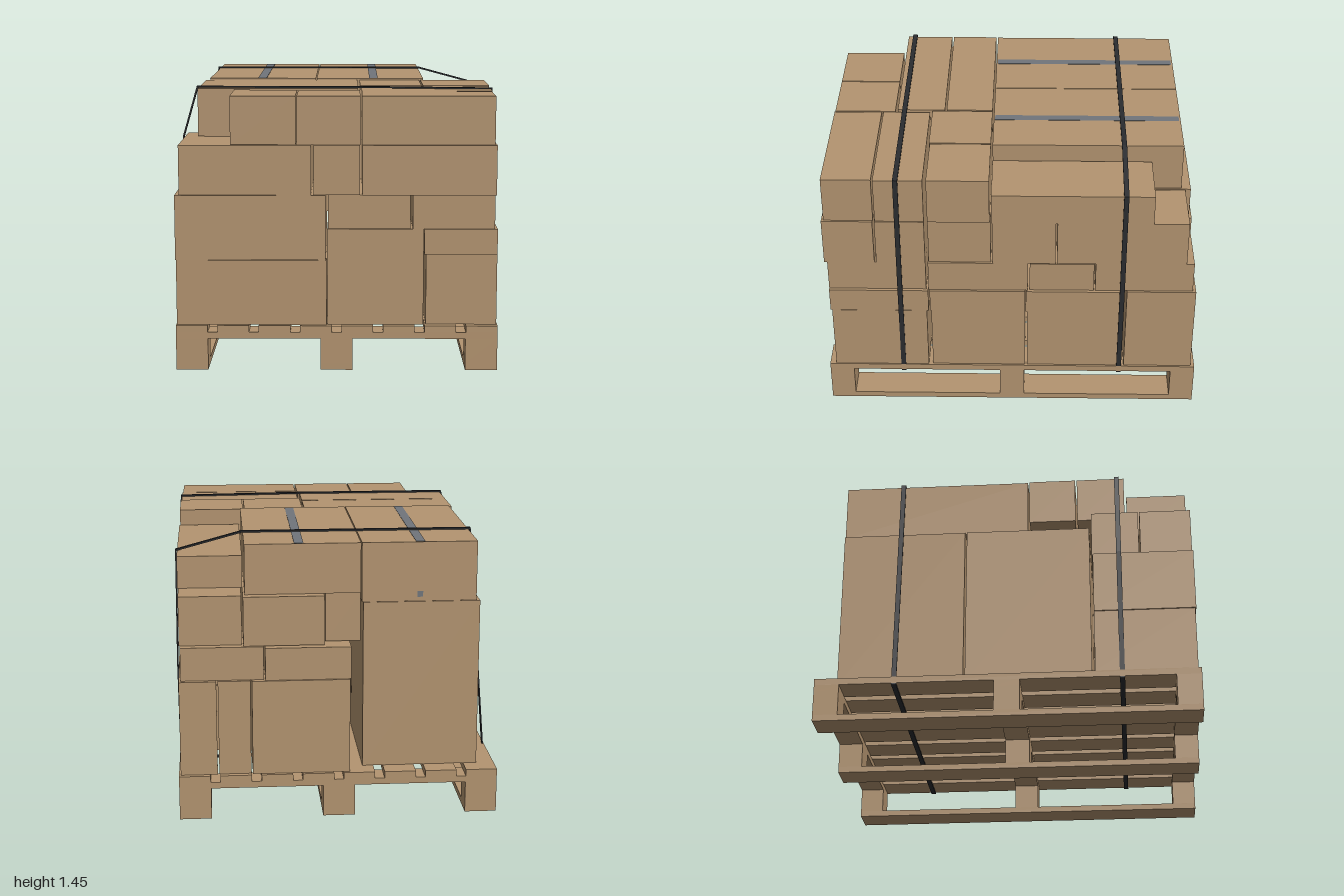
import * as THREE from 'three';

const kraft = new THREE.MeshStandardMaterial({ color: 0xb39470 });
kraft.name = 'kraftBrown';
const grey = new THREE.MeshStandardMaterial({ color: 0x70757b });
grey.name = 'tapeGrey';
const black = new THREE.MeshStandardMaterial({ color: 0x2a2c2f });
black.name = 'strapBlack';

// Box given by its extents on each axis; gap narrows it sideways
function block(parent, name, [x0, x1, y0, y1, z0, z1], material = kraft, gap = 0) {
  const mesh = new THREE.Mesh(
    new THREE.BoxGeometry(x1 - x0 - gap, y1 - y0, z1 - z0 - gap), material);
  mesh.position.set((x0 + x1) / 2, (y0 + y1) / 2, (z0 + z1) / 2);
  mesh.name = name;
  parent.add(mesh);
}

function group(parent, name) {
  const g = new THREE.Group();
  g.name = name;
  parent.add(g);
  return g;
}

// Pallet: runners, feet, cross boards and deck slats
function addPallet(model) {
  const pallet = group(model, 'pallet');
  const feetX = [[-0.833, -0.667], [-0.083, 0.083], [0.667, 0.833]];
  const feetZ = [[-1, -0.87], [-0.067, 0.067], [0.87, 1]];
  for (const x of feetX) {
    block(pallet, 'runner', [...x, 0, 0.033, -1, 1]);
    for (const z of feetZ) block(pallet, 'foot', [...x, 0.033, 0.167, ...z]);
  }
  for (const z of feetZ) block(pallet, 'crossBoard', [-0.833, 0.833, 0.167, 0.2, ...z]);
  for (let i = 0; i < 8; i++) {
    const x = -0.833 + i * 0.2146;
    block(pallet, 'deckSlat', [x, x + 0.164, 0.2, 0.235, -1, 1]);
  }
}

// Cartons per layer: x0, x1, y0, y1, z0, z1
const layers = {
  bottomLayer: [
    [-0.83, -0.05, 0.236, 0.577, 0.455, 0.985],
    [-0.05, 0.45, 0.236, 0.74, 0.45, 0.975],
    [0.46, 0.83, 0.236, 0.606, 0.455, 0.967],
    [0.45, 0.83, 0.607, 0.739, 0.445, 0.975],
    [0.1, 0.825, 0.236, 0.606, -0.072, 0.435],
    [0.1, 0.83, 0.607, 0.739, -0.07, 0.44],
    [0.1, 0.825, 0.236, 0.606, -0.6, -0.08],
    [0.1, 0.83, 0.607, 0.739, -0.6, -0.072],
    [0.63, 0.825, 0.236, 0.739, -0.98, -0.61],
    [0.455, 0.625, 0.236, 0.739, -0.975, -0.61],
    [-0.06, 0.45, 0.236, 0.739, -0.985, -0.61],
    // Tall cartons on the right side
    [-0.74, -0.13, 0.236, 1.125, -0.9, -0.235],
    [-0.742, -0.13, 0.236, 1.125, -0.228, 0.44],
  ],
  secondLayer: [
    [-0.833, -0.055, 0.579, 0.916, 0.455, 0.99],
    [-0.045, 0.38, 0.741, 0.916, 0.45, 0.965],
    [0.39, 0.815, 0.741, 0.916, 0.455, 0.975],
    [-0.1, 0.82, 0.741, 0.916, -0.085, 0.445],
    [-0.1, 0.815, 0.741, 0.91, -0.435, -0.092],
    [0.385, 0.815, 0.741, 0.916, -0.962, -0.44],
    [-0.065, 0.38, 0.741, 0.912, -0.98, -0.44],
  ],
  thirdLayer: [
    [-0.81, -0.13, 0.917, 1.174, 0.71, 0.985],
    [-0.12, 0.12, 0.917, 1.174, 0.72, 0.98],
    [0.13, 0.82, 0.917, 1.175, 0.722, 0.99],
    [-0.81, -0.13, 0.917, 1.174, 0.45, 0.705],
    [-0.12, 0.12, 0.917, 1.174, 0.455, 0.715],
    [0.13, 0.82, 0.917, 1.175, 0.455, 0.715],
    [-0.12, 0.81, 0.917, 1.175, 0.11, 0.44],
    [-0.12, 0.82, 0.917, 1.175, -0.23, 0.105],
    [0.495, 0.82, 0.917, 1.175, -0.92, -0.235],
    [0.07, 0.49, 0.917, 1.175, -0.95, -0.235],
    [-0.12, 0.065, 0.917, 1.174, -0.88, -0.235],
  ],
  topLayer: [
    [-0.545, -0.208, 1.176, 1.425, 0.645, 0.975],
    [-0.205, 0.122, 1.176, 1.425, 0.645, 0.975],
    [0.128, 0.81, 1.176, 1.425, 0.718, 0.978],
    [0.128, 0.815, 1.176, 1.425, 0.455, 0.712],
    [-0.74, 0.112, 1.176, 1.43, 0.375, 0.635],
    [-0.74, 0.112, 1.176, 1.43, 0.115, 0.368],
    [0.12, 0.455, 1.176, 1.43, 0.115, 0.445],
    [0.46, 0.82, 1.176, 1.43, 0.115, 0.44],
    [-0.72, -0.122, 1.127, 1.438, -0.9, 0.108],
    [-0.12, 0.48, 1.176, 1.438, -0.9, 0.108],
    [0.485, 0.825, 1.176, 1.345, -0.735, 0.108],
  ],
};

// Flat strap loop around the load
function addStrap(model, z, points) {
  const inset = ([x, y]) => new THREE.Vector2(x * 0.991, 0.82 + (y - 0.82) * 0.987);
  const shape = new THREE.Shape(points.map(([x, y]) => new THREE.Vector2(x, y)));
  shape.holes.push(new THREE.Path(points.map(inset)));
  const geometry = new THREE.ExtrudeGeometry(shape, { depth: 0.026, bevelEnabled: false });
  const strap = new THREE.Mesh(geometry, black);
  strap.position.z = z - 0.013;
  strap.name = 'strap';
  model.add(strap);
}

export function createModel() {
  const model = new THREE.Group();
  model.name = 'loadedPallet';
  addPallet(model);

  const load = group(model, 'cartons');
  for (const [name, boxes] of Object.entries(layers)) {
    const layer = group(load, name);
    for (const box of boxes) block(layer, 'carton', box, kraft, 0.003);
  }

  // Tape strips on the two large top cartons
  for (const x of [-0.425, 0.2]) {
    block(model, 'tape', [x - 0.024, x + 0.024, 1.434, 1.4395, -0.89, 0.1], grey);
  }
  block(model, 'tapeTail', [-0.44, -0.41, 1.15, 1.18, -0.901, -0.896], grey);

  // Straps
  addStrap(model, 0.595, [[-0.832, 0.192], [0.832, 0.192], [0.836, 0.74], [0.83, 1.18],
    [0.822, 1.432], [0.1, 1.44], [-0.745, 1.44], [-0.822, 1.175], [-0.842, 0.92]]);
  addStrap(model, -0.585, [[-0.832, 0.192], [0.832, 0.192], [0.838, 0.74], [0.833, 1.353],
    [0.485, 1.447], [-0.73, 1.447]]);
  return model;
}
